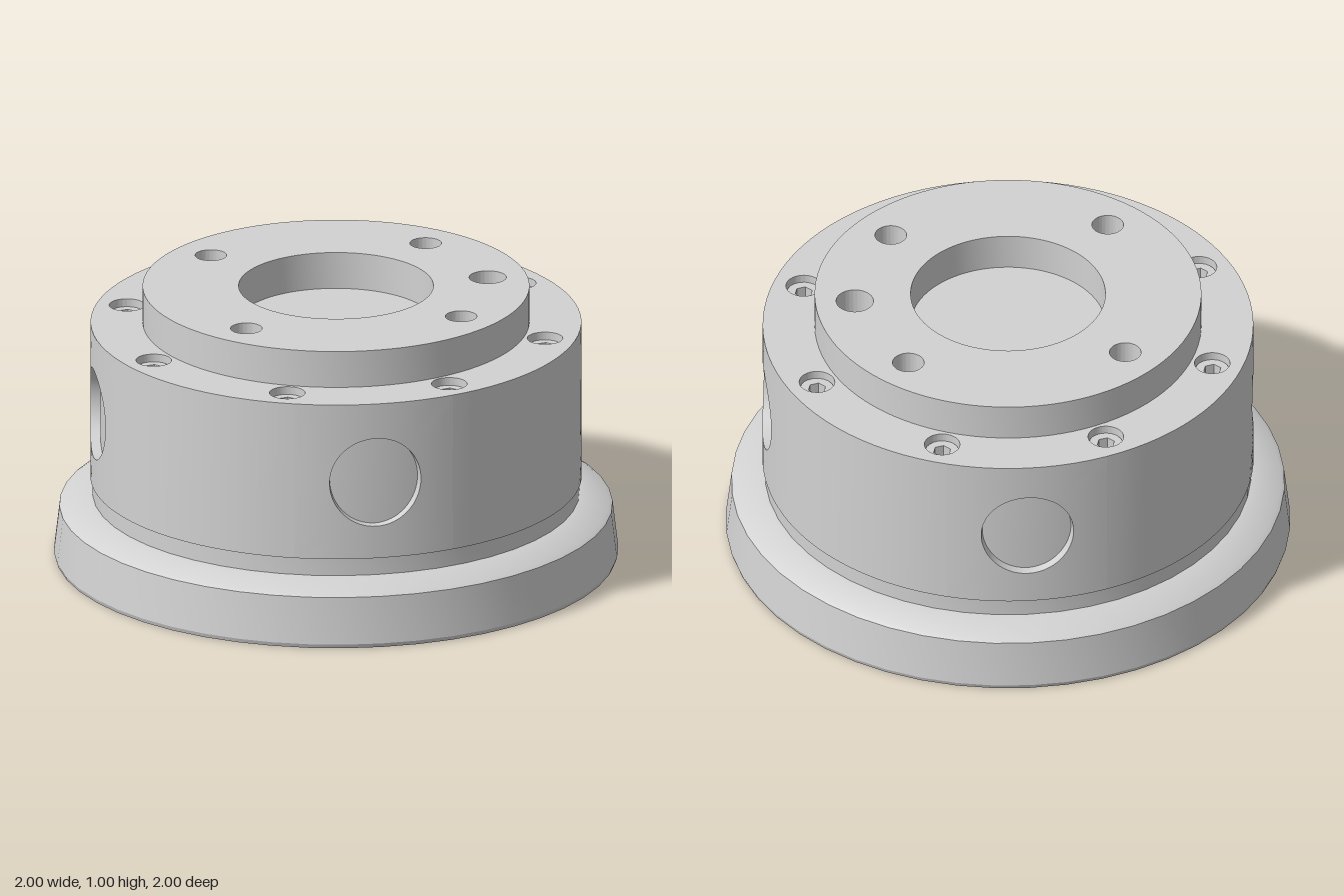
import * as THREE from 'three';
import { toCreasedNormals } from 'three/addons/utils/BufferGeometryUtils.js';

const R = 0.87;        // body radius
const HALF = 0.29;     // half height of the body wall
const MID = 0.58;      // height of the wall's middle
const WINDOW = 0.165;  // window radius

export function createModel() {
  const group = new THREE.Group();
  const metal = new THREE.MeshStandardMaterial({ color: 0xd2d2d2 });
  metal.name = 'plain grey metal';

  function add(name, geometry, y = 0) {
    const mesh = new THREE.Mesh(toCreasedNormals(geometry, 0.4), metal);
    mesh.name = name;
    mesh.position.y = y;
    group.add(mesh);
    return mesh;
  }

  // Flat disc standing on y = 0, with round holes given as [x, z, radius]
  function drilledDisc(radius, height, holes) {
    const shape = new THREE.Shape().absarc(0, 0, radius, 0, Math.PI * 2);
    for (const [x, z, r] of holes) {
      shape.holes.push(new THREE.Path().absarc(x, -z, r, 0, Math.PI * 2, true));
    }
    const geo = new THREE.ExtrudeGeometry(shape, { depth: height, bevelEnabled: false, curveSegments: 48 });
    return geo.rotateX(-Math.PI / 2);
  }

  // Square piece of curved wall with a round window and its short bore
  function windowPatch() {
    const n = 64, steps = 5, pos = [], index = [];
    for (let k = 0; k <= steps + 1; k++) {
      const t = Math.min(k / steps, 1);
      const r = k > steps ? 0.81 : R;
      for (let i = 0; i <= n; i++) {
        const a = (i / n) * Math.PI * 2, c = Math.cos(a), s = Math.sin(a);
        const edge = HALF / Math.max(Math.abs(c), Math.abs(s));
        const d = THREE.MathUtils.lerp(edge, WINDOW, t);
        const theta = (d * c) / R;
        pos.push(r * Math.sin(theta), MID + d * s - 0.005 * t, r * Math.cos(theta));
      }
    }
    for (let k = 0; k <= steps; k++) {
      for (let i = 0; i < n; i++) {
        const a = k * (n + 1) + i, d = a + n + 1;
        index.push(a, a + 1, d + 1, a, d + 1, d);
      }
    }
    const geo = new THREE.BufferGeometry();
    geo.setAttribute('position', new THREE.Float32BufferAttribute(pos, 3));
    geo.setIndex(index);
    geo.computeVertexNormals();
    return geo;
  }

  // Base flange with a shallow dished underside and a narrow neck
  const profile = [
    [0, 0.085], [0.915, 0.085], [0.98, 0], [0.995, 0], [1, 0.015], [0.98, 0.185],
    [0.965, 0.195], [0.885, 0.222], [0.862, 0.225], [0.862, 0.29], [R, 0.29],
  ].map(([x, y]) => new THREE.Vector2(x, y));
  add('baseFlange', new THREE.LatheGeometry(profile, 48));

  // Body wall: four windows on the diagonals with plain wall between them
  const halfAngle = HALF / R;
  for (let i = 0; i < 4; i++) {
    const angle = Math.PI / 4 + (i * Math.PI) / 2;
    add('windowWall', windowPatch()).rotation.y = angle;
    add('plainWall', new THREE.CylinderGeometry(R, R, HALF * 2, 20, 1, true,
      angle + halfAngle, Math.PI / 2 - 2 * halfAngle), MID);
  }

  // Inner drum seen through the windows
  add('innerDrum', new THREE.CylinderGeometry(0.835, 0.835, 0.53, 64), 0.485);

  // Screw positions around the rim, and the fifth, deeper hole
  const screws = Array.from({ length: 8 }, (_, i) => {
    const a = Math.PI / 8 + (i * Math.PI) / 4;
    return [0.76 * Math.cos(a), 0.76 * Math.sin(a), 0.063];
  });
  const deepHole = [0.385, -0.385, 0.066];
  add('bodyTop', drilledDisc(R - 0.001, 0.12, [...screws, deepHole]), 0.75);

  // Raised collar with centre bore and mounting holes
  const mounts = [[0.545, 0], [-0.545, 0], [0, 0.545], [0, -0.545]].map(([x, z]) => [x, z, 0.056]);
  add('collar', drilledDisc(0.685, 0.135, [[0, 0, 0.345], ...mounts, deepHole]), 0.87);

  // Sunken screw heads with hexagonal sockets
  const head = new THREE.Shape().absarc(0, 0, 0.06, 0, Math.PI * 2);
  const socket = Array.from({ length: 6 }, (_, i) => new THREE.Vector2(
    0.032 * Math.cos((i * Math.PI) / 3), 0.032 * Math.sin((i * Math.PI) / 3)));
  head.holes.push(new THREE.Path(socket));
  const headGeo = new THREE.ExtrudeGeometry(head, { depth: 0.09, bevelEnabled: false, curveSegments: 10 });
  headGeo.rotateX(-Math.PI / 2);
  for (const [x, z] of screws) {
    add('screwHead', headGeo).position.set(x, 0.752, z);
  }

  return group;
}
